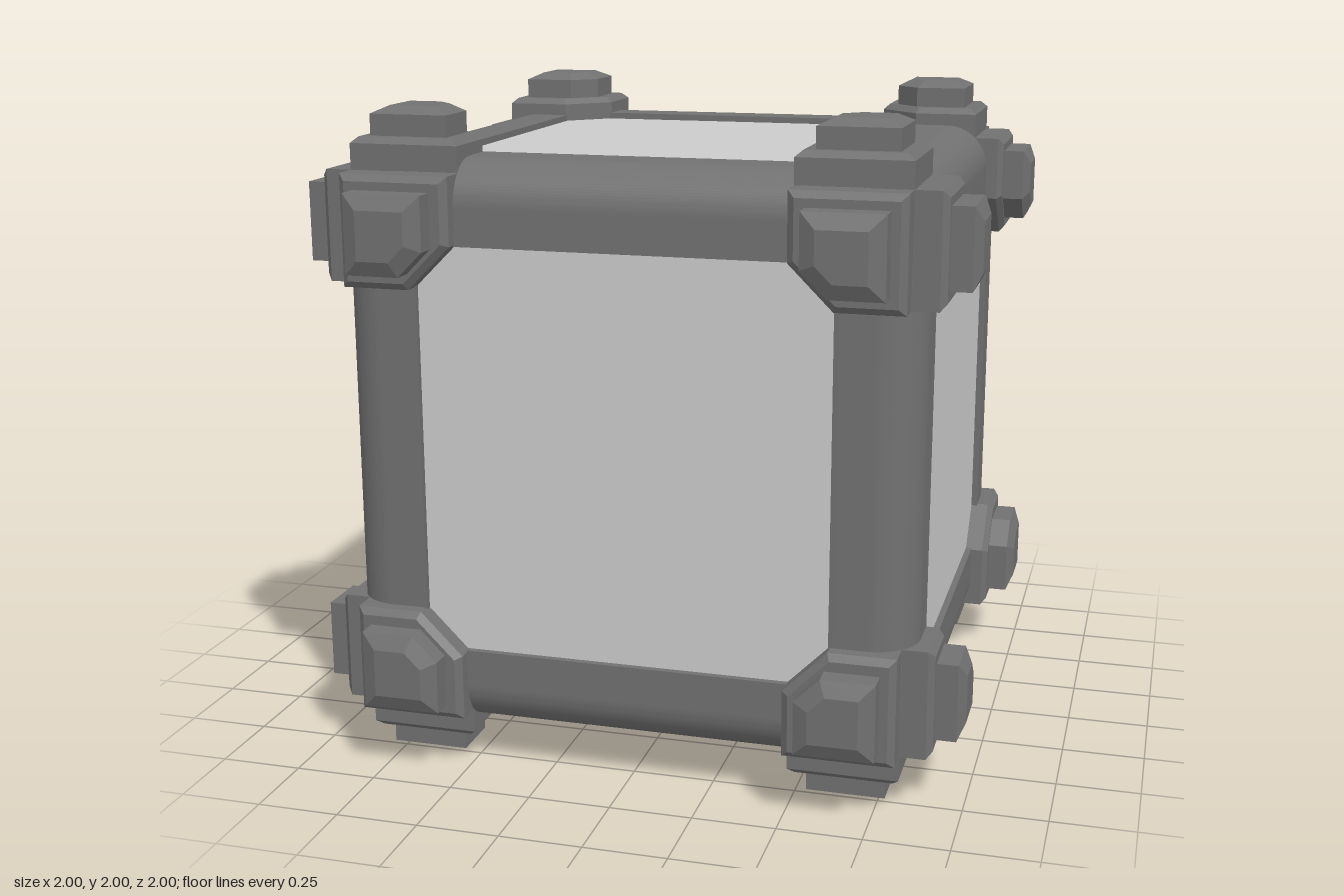
import * as THREE from 'three';
import { toCreasedNormals } from 'three/addons/utils/BufferGeometryUtils.js';

const dark = new THREE.MeshStandardMaterial({ color: 0x717171 });
const pale = new THREE.MeshStandardMaterial({ color: 0xcccccc });
const DIAGONAL = new THREE.Vector3(1, 1, 1).normalize();

function addMesh(parent, name, geometry, material) {
  const mesh = new THREE.Mesh(geometry, material);
  mesh.name = name;
  parent.add(mesh);
  return mesh;
}

// Five-sided block: a square with its inner corner cut off, bevelled at the end
function cutBlock(min, max, cut, from, to, bevelWidth, bevelHeight) {
  const shape = new THREE.Shape([
    [min + cut, min], [max, min], [max, max], [min, max], [min, min + cut],
  ].map(([x, y]) => new THREE.Vector2(x, y)));
  const geometry = new THREE.ExtrudeGeometry(shape, {
    depth: to - from - 2 * bevelHeight, bevelEnabled: true, bevelSegments: 1,
    bevelSize: bevelWidth, bevelOffset: -bevelWidth, bevelThickness: bevelHeight,
  });
  return geometry.translate(0, 0, from + bevelHeight);
}

// Square bar with a rounded outer edge, running along z
function beamGeometry() {
  const a = 0.615, b = 0.86, r = 0.135, half = 0.7;
  const shape = new THREE.Shape();
  shape.moveTo(a, a);
  shape.lineTo(b, a);
  shape.lineTo(b, b - r);
  shape.absarc(b - r, b - r, r, 0, Math.PI / 2, false);
  shape.lineTo(a, b);
  shape.closePath();
  const geometry = new THREE.ExtrudeGeometry(shape, {
    depth: 2 * half, bevelEnabled: false, curveSegments: 12,
  });
  return toCreasedNormals(geometry.translate(0, 0, -half), 0.5);
}

// Corner fitting: a stepped block facing each of the three axes
function cornerFitting(plate, knob) {
  const corner = new THREE.Group();
  corner.name = 'cornerFitting';
  for (let i = 0; i < 3; i++) {
    const arm = new THREE.Group();
    arm.name = 'cornerArm';
    arm.quaternion.setFromAxisAngle(DIAGONAL, i * Math.PI * 2 / 3);
    addMesh(arm, 'cornerPlate', plate, dark);
    addMesh(arm, 'cornerKnob', knob, dark);
    corner.add(arm);
  }
  return corner;
}

export function createModel() {
  const model = new THREE.Group();
  model.name = 'framedCube';
  const cube = new THREE.Group();
  cube.name = 'cube';
  cube.position.y = 1;
  model.add(cube);

  // Six pale panels, slightly below the frame
  const panel = new THREE.BoxGeometry(1.26, 1.26, 0.04).translate(0, 0, 0.82);
  for (let i = 0; i < 4; i++) {
    addMesh(cube, 'sidePanel', panel, pale).rotation.y = i * Math.PI / 2;
  }
  addMesh(cube, 'topPanel', panel, pale).rotation.x = -Math.PI / 2;
  addMesh(cube, 'bottomPanel', panel, pale).rotation.x = Math.PI / 2;

  // Twelve edge beams, four along each axis
  const beam = beamGeometry();
  for (let axis = 0; axis < 3; axis++) {
    const set = new THREE.Group();
    set.name = 'beamSet';
    set.quaternion.setFromAxisAngle(DIAGONAL, axis * Math.PI * 2 / 3);
    for (let i = 0; i < 4; i++) {
      addMesh(set, 'edgeBeam', beam, dark).rotation.z = i * Math.PI / 2;
    }
    cube.add(set);
  }

  // Eight corner fittings
  const plate = cutBlock(0.49, 0.82, 0.13, 0.5, 0.915, 0.02, 0.018);
  const knob = cutBlock(0.54, 0.775, 0.075, 0.8, 1, 0.045, 0.022);
  for (let flip = 0; flip < 2; flip++) {
    const half = new THREE.Group();
    half.name = flip ? 'lowerCorners' : 'upperCorners';
    half.rotation.x = flip * Math.PI;
    for (let i = 0; i < 4; i++) {
      const corner = cornerFitting(plate, knob);
      corner.rotation.y = i * Math.PI / 2;
      half.add(corner);
    }
    cube.add(half);
  }
  return model;
}
